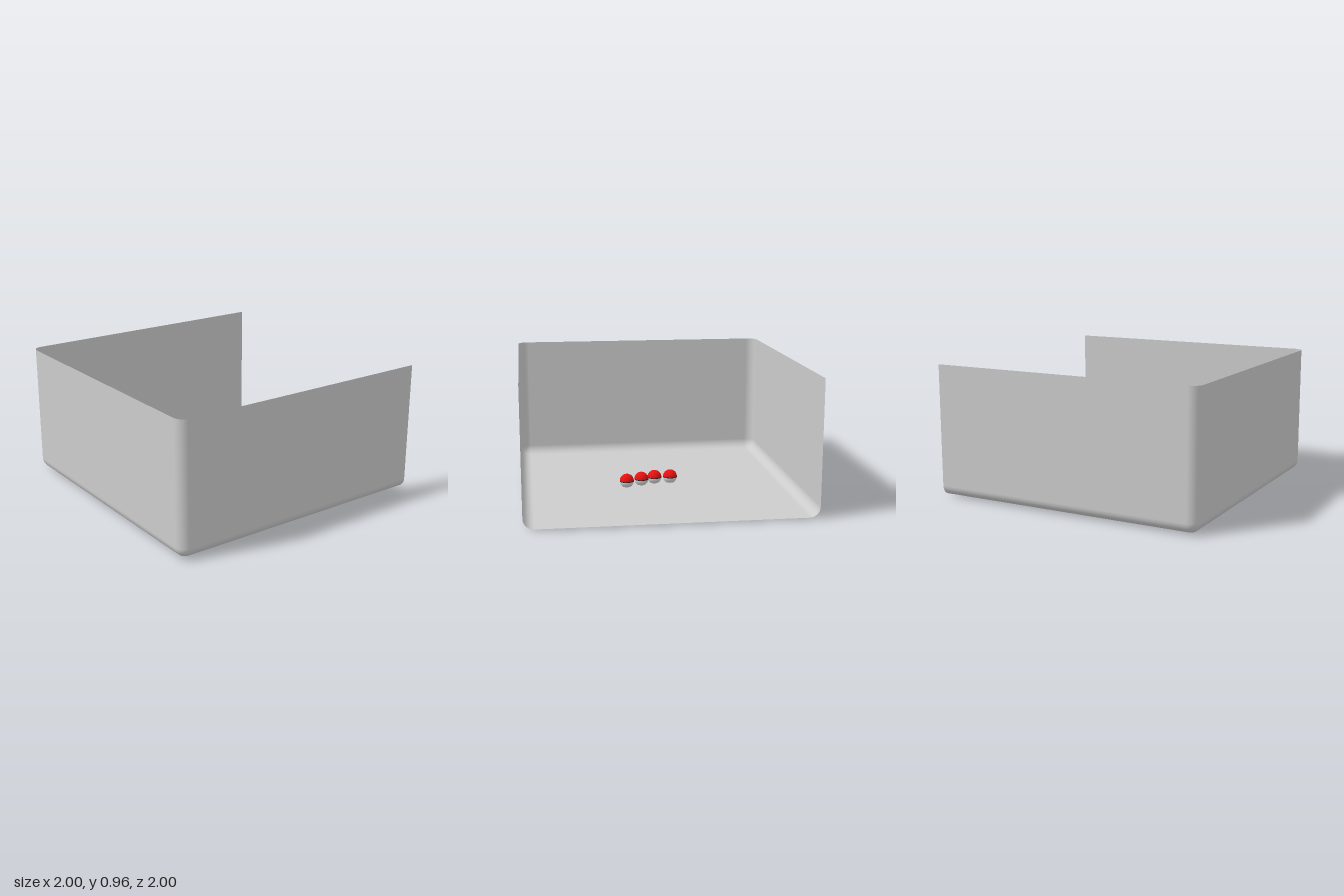
import * as THREE from 'three';

const FLOOR = 0.01, TOP = 0.965, R = 0.075, STEPS = 8;

// Wall sheet: U-shaped outlines stacked from the rim down, curling under into the floor
function wallGeometry() {
  const rows = [{ y: TOP, t: 0 }];
  for (let i = 0; i <= STEPS; i++) {
    const t = (i / STEPS) * Math.PI / 2;
    rows.push({ y: FLOOR + R * (1 - Math.sin(t)), t });
  }
  const outline = [{ a: Math.PI, end: true }];
  for (const [start, cx] of [[Math.PI, -1 + R], [Math.PI / 2, 1 - R]]) {
    for (let i = 0; i <= STEPS; i++) outline.push({ a: start - (i / STEPS) * Math.PI / 2, cx });
  }
  outline.push({ a: 0, end: true });

  const pos = [], nor = [], idx = [], n = outline.length;
  rows.forEach(({ y, t }, j) => {
    const r = R * Math.cos(t);
    outline.forEach(({ a, cx, end }, k) => {
      const dx = Math.cos(a), dz = Math.sin(a);
      const x0 = end ? Math.sign(dx) * (1 - R) : cx;
      pos.push(x0 + dx * r, y, end ? -1 : 1 - R + dz * r);
      nor.push(dx * Math.cos(t), -Math.sin(t), dz * Math.cos(t));
      if (j < rows.length - 1 && k < n - 1) {
        const p = j * n + k;
        idx.push(p, p + n, p + 1, p + 1, p + n, p + n + 1);
      }
    });
  });
  const g = new THREE.BufferGeometry();
  g.setAttribute('position', new THREE.Float32BufferAttribute(pos, 3));
  g.setAttribute('normal', new THREE.Float32BufferAttribute(nor, 3));
  g.setIndex(idx);
  return g;
}

export function createModel() {
  const model = new THREE.Group();
  model.name = 'trayWithBalls';
  const grey = new THREE.MeshStandardMaterial({ name: 'trayGrey', color: 0xcccccc, side: THREE.DoubleSide });
  const red = new THREE.MeshStandardMaterial({ name: 'ballRed', color: 0xee1111 });
  const pale = new THREE.MeshStandardMaterial({ name: 'ballPale', color: 0xd8d8d8 });
  const black = new THREE.MeshStandardMaterial({ name: 'bandBlack', color: 0x202020 });

  const add = (parent, name, geometry, material) => {
    const mesh = new THREE.Mesh(geometry, material);
    mesh.name = name;
    parent.add(mesh);
    return mesh;
  };

  // Tray, open at the top and back
  const tray = new THREE.Group();
  tray.name = 'tray';
  model.add(tray);
  add(tray, 'walls', wallGeometry(), grey);
  const floor = new THREE.PlaneGeometry(2 - 2 * R, 2 - R).rotateX(Math.PI / 2);
  add(tray, 'floor', floor.translate(0, FLOOR, -R / 2), grey);

  // Two-tone balls with a thin dark band around the middle
  const r = 0.053, band = 0.05, mid = Math.PI / 2;
  const slice = (from, to) => new THREE.SphereGeometry(r, 32, 12, 0, Math.PI * 2, from, to - from);
  const topHalf = slice(0, mid - band);
  const bandRing = slice(mid - band, mid + band);
  const bottomHalf = slice(mid + band, Math.PI);
  [[-0.12, 0], [0, 0], [0.105, -0.04], [0.22, -0.08]].forEach(([x, z], i) => {
    const ball = new THREE.Group();
    ball.name = 'ball' + (i + 1);
    ball.position.set(x, r, z);
    add(ball, 'ballTop', topHalf, red);
    add(ball, 'ballBand', bandRing, black);
    add(ball, 'ballBottom', bottomHalf, pale);
    model.add(ball);
  });
  return model;
}
